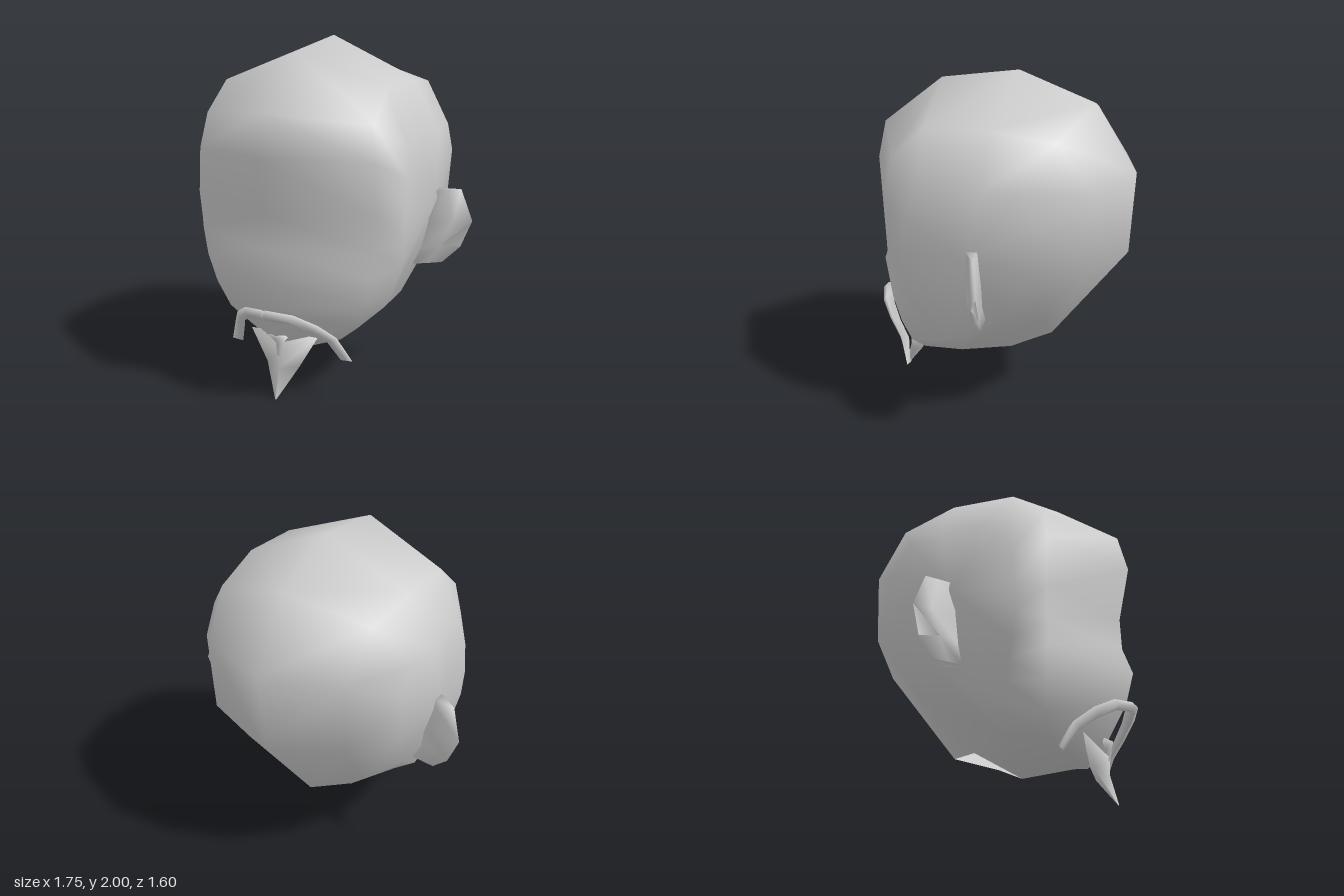
import * as THREE from 'three';

const skin = new THREE.MeshStandardMaterial({ color: 0xcccccc, side: THREE.DoubleSide });
skin.name = 'plain grey';

// Smooth mesh from points and triangles
function surface(name, points, faces) {
  const geometry = new THREE.BufferGeometry();
  geometry.setAttribute('position', new THREE.Float32BufferAttribute(points.flat(), 3));
  geometry.setIndex(faces.flat());
  geometry.computeVertexNormals();
  const mesh = new THREE.Mesh(geometry, skin);
  mesh.name = name;
  return mesh;
}

// Skin closed cross-sections together and cap both ends; side -1 mirrors in x
function loft(name, sections, side = 1) {
  const n = sections[0].length;
  const points = sections.flat().map(([x, y, z]) => [x * side, y, z]);
  const faces = [];
  const add = (a, b, c) => faces.push(side > 0 ? [a, b, c] : [a, c, b]);
  for (let s = 0; s < sections.length - 1; s++) {
    for (let i = 0; i < n; i++) {
      const a = s * n + i, b = s * n + (i + 1) % n;
      add(a, b, b + n);
      add(a, b + n, a + n);
    }
  }
  const last = (sections.length - 1) * n;
  for (let i = 1; i < n - 1; i++) {
    add(0, i + 1, i);
    add(last, last + i, last + i + 1);
  }
  return surface(name, points, faces);
}

// Head: three loops, crown to face to chin to nape, closing on a point at each side
function buildHead() {
  const middle = [
    [0, 2, -0.1], [0, 1.93, 0.37], [0, 1.64, 0.745], [0, 1.41, 0.8], [0, 1.09, 0.73],
    [0, 0.9, 0.735], [0, 0.74, 0.79], [0, 0.56, 0.74], [0, 0.32, 0.6], [0, 0.23, 0.5],
    [0, 0.21, 0.11], [0, 0.385, -0.32], [0, 0.98, -0.77], [0, 1.46, -0.795], [0, 1.84, -0.55],
  ];
  const corner = [
    [0.52, 1.77, -0.1], [0.51, 1.75, 0.28], [0.52, 1.58, 0.47], [0.55, 1.38, 0.51], [0.56, 1.09, 0.5],
    [0.55, 0.9, 0.5], [0.53, 0.74, 0.49], [0.49, 0.57, 0.46], [0.42, 0.42, 0.43], [0.3, 0.32, 0.4],
    [0.34, 0.36, 0.14], [0.4, 0.66, -0.38], [0.43, 1.03, -0.63], [0.43, 1.45, -0.65], [0.46, 1.72, -0.46],
  ];
  const temple = [
    [0.67, 1.48, -0.1], [0.655, 1.5, 0.13], [0.655, 1.42, 0.28], [0.665, 1.28, 0.34], [0.67, 1.08, 0.36],
    [0.66, 0.92, 0.35], [0.63, 0.78, 0.32], [0.59, 0.67, 0.28], [0.54, 0.57, 0.25], [0.48, 0.48, 0.2],
    [0.52, 0.54, 0.05], [0.57, 0.74, -0.2], [0.63, 1.05, -0.39], [0.645, 1.32, -0.41], [0.65, 1.49, -0.31],
  ];
  const n = middle.length, neck = 10;
  const points = [...middle];
  const faces = [];
  for (const side of [1, -1]) {
    const base = points.length;
    const extra = [[0.7, 1.1, -0.02], [0.17, 0.34, -0.11]];
    points.push(...[...corner, ...temple, ...extra].map(([x, y, z]) => [x * side, y, z]));
    const pole = base + 2 * n, neckSide = pole + 1;
    const add = (a, b, c) => faces.push(side > 0 ? [a, b, c] : [a, c, b]);
    for (let i = 0; i < n; i++) {
      const j = (i + 1) % n;
      const a = base + i, b = base + j;
      if (i === neck) {
        // Diamond-shaped neck opening
        add(i, neckSide, a);
        add(neckSide, b, a);
        add(neckSide, j, b);
      } else {
        add(i, j, b);
        add(i, b, a);
      }
      add(a, b, b + n);
      add(a, b + n, a + n);
      add(a + n, b + n, pole);
    }
  }
  return surface('head', points, faces);
}

// Ear sections, lobe to top: front root, hollow, rim, back root
const earSections = [
  [[0.57, 0.7, 0.0], [0.64, 0.7, -0.05], [0.71, 0.7, -0.11], [0.57, 0.7, -0.09]],
  [[0.62, 0.8, 0.0], [0.72, 0.82, -0.06], [0.81, 0.8, -0.14], [0.62, 0.8, -0.09]],
  [[0.66, 0.96, 0.0], [0.78, 0.95, -0.08], [0.875, 0.96, -0.145], [0.64, 0.96, -0.09]],
  [[0.68, 1.15, -0.01], [0.75, 1.15, -0.06], [0.815, 1.15, -0.11], [0.64, 1.15, -0.08]],
];

// Moustache sections from the centre outwards: x, top, bottom, z, depth
const moustacheSections = [
  [0.01, 0.57, 0.51, 0.775, 0.05],
  [0.14, 0.545, 0.49, 0.715, 0.05],
  [0.235, 0.475, 0.425, 0.63, 0.045],
  [0.3, 0.385, 0.35, 0.54, 0.04],
  [0.36, 0.235, 0.23, 0.475, 0.005],
].map(([x, top, bottom, z, d]) => {
  const mid = (top + bottom) / 2, lean = x * 0.1;
  return [[x + lean, top, z], [x, mid, z + d / 2], [x - lean, bottom, z], [x, mid, z - d]];
});

// Goatee sections from the tip upwards: left wing, front ridge, right wing, back
const goateeSections = [
  [[0.015, 0, 0.66], [0.02, 0, 0.663], [0.025, 0, 0.66], [0.02, 0, 0.657]],
  [[-0.085, 0.18, 0.57], [0.02, 0.17, 0.62], [0.12, 0.18, 0.56], [0.02, 0.15, 0.54]],
  [[-0.2, 0.36, 0.55], [0.02, 0.27, 0.625], [0.22, 0.36, 0.53], [0.02, 0.25, 0.5]],
];

// Small tuft under the lip
const tuftSections = [
  [[0, 0.25, 0.61], [0.02, 0.25, 0.63], [0.04, 0.25, 0.61], [0.02, 0.25, 0.56]],
  [[0, 0.32, 0.61], [0.02, 0.32, 0.635], [0.04, 0.32, 0.61], [0.02, 0.32, 0.56]],
  [[-0.05, 0.365, 0.62], [0.015, 0.36, 0.65], [0.08, 0.37, 0.62], [0.015, 0.37, 0.58]],
];

export function createModel() {
  const model = new THREE.Group();
  model.name = 'bearded head';
  model.add(buildHead());
  for (const [side, label] of [[1, 'left'], [-1, 'right']]) {
    model.add(loft(label + 'Ear', earSections, side));
    const moustache = loft(label + 'Moustache', moustacheSections, side);
    moustache.position.x = 0.015;
    model.add(moustache);
  }
  model.add(loft('goatee', goateeSections));
  model.add(loft('lipTuft', tuftSections));
  return model;
}
